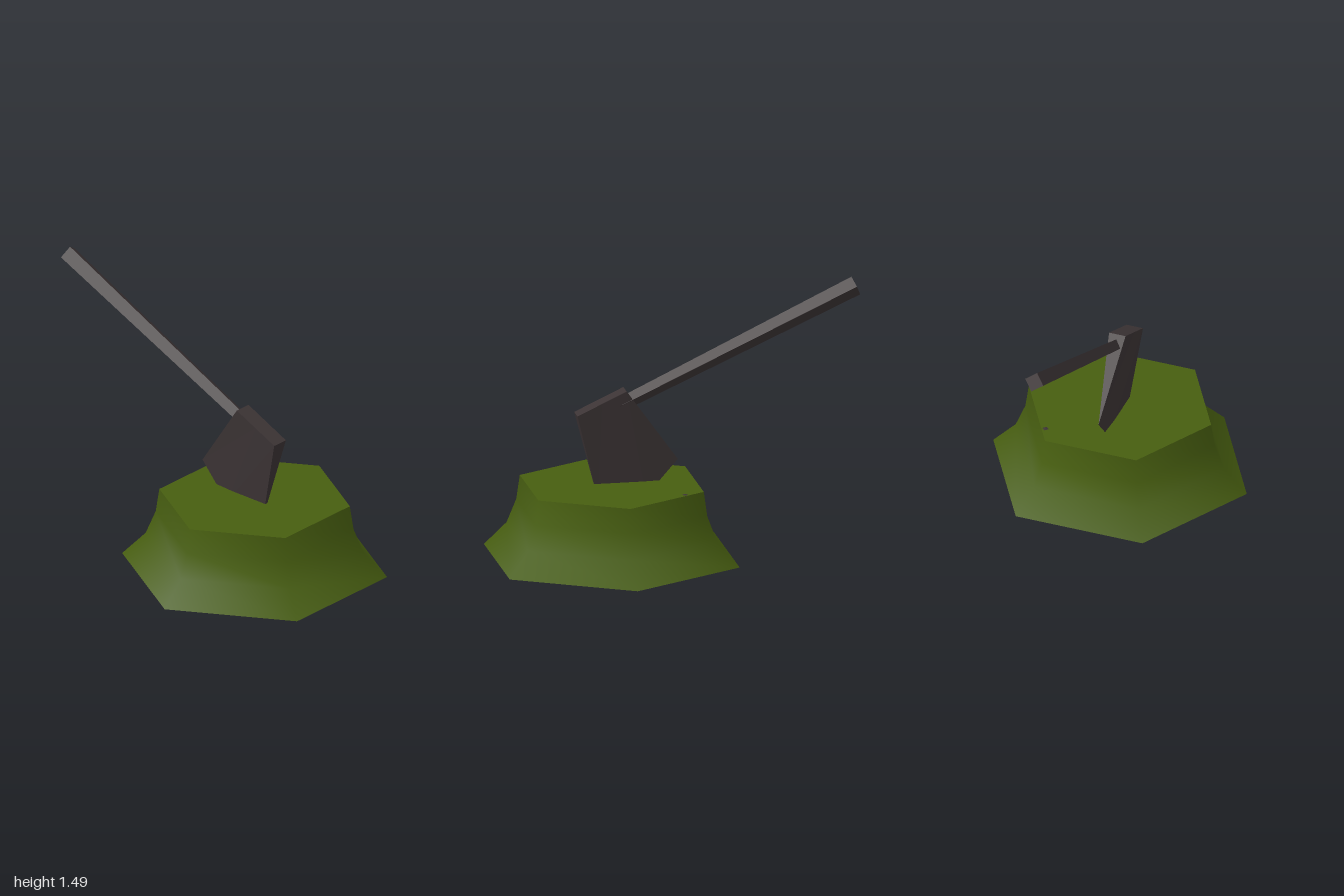
import * as THREE from 'three';

const green = new THREE.MeshStandardMaterial({ color: 0x475e10, side: THREE.DoubleSide });
green.name = 'moss green';
const iron = new THREE.MeshStandardMaterial({ color: 0x3c3435 });
iron.name = 'dark iron';

function part(name, geometry, material) {
  const mesh = new THREE.Mesh(geometry, material);
  mesh.name = name;
  return mesh;
}

function faceted(geometry) {
  const g = geometry.toNonIndexed();
  g.computeVertexNormals();
  return g;
}

// Hollow six-sided stump, flared at the foot and open underneath
function makeStump() {
  const stump = new THREE.Group();
  stump.name = 'stump';
  const profile = [[0.73, 0], [0.6, 0.135], [0.545, 0.27], [0.525, 0.405]]
    .map(([r, y]) => new THREE.Vector2(r, y));
  stump.add(part('stumpSide', new THREE.LatheGeometry(profile, 6, Math.PI / 6), green));
  const top = part('stumpTop', new THREE.CircleGeometry(0.525, 6).rotateX(-Math.PI / 2), green);
  top.position.y = 0.405;
  stump.add(top);
  // Small chip near the rim
  const chip = part('chip', faceted(new THREE.OctahedronGeometry(0.028).scale(1, 0.2, 1)), iron);
  chip.position.set(0.3, 0.403, 0.02);
  stump.add(chip);
  stump.position.z = 0.365;
  chip.position.z -= 0.365;
  return stump;
}

// Wedge: square poll on top, sharp pointed cutting edge below
function makeHead() {
  const depth = 0.49;
  const g = new THREE.BoxGeometry(0.095, depth, 2, 1, 1, 2);
  g.translate(0, -depth / 2, 0);
  const p = g.attributes.position;
  for (let i = 0; i < p.count; i++) {
    const side = Math.round(p.getZ(i));
    if (p.getY(i) > -0.01) {
      p.setZ(i, side * 0.149);
    } else {
      p.setXYZ(i, 0, side === 0 ? -0.597 : -depth, side * 0.242);
    }
  }
  return part('axeHead', faceted(g), iron);
}

// Square handle, thicker towards its free end
function makeHandle() {
  const near = -0.08, far = -1.516;
  const g = new THREE.CylinderGeometry(0.054, 0.038, near - far, 4, 1, false, -0.16);
  g.rotateX(-Math.PI / 2);
  const handle = part('axeHandle', faceted(g), iron);
  handle.position.set(0.006, -0.065, (near + far) / 2);
  return handle;
}

export function createModel() {
  const model = new THREE.Group();
  model.name = 'axeInStump';
  const axe = new THREE.Group();
  axe.name = 'axe';
  axe.add(makeHead(), makeHandle());
  axe.position.set(-0.0125, 0.8625, 0.425);
  axe.rotation.x = 0.4335;
  model.add(makeStump(), axe);
  return model;
}
